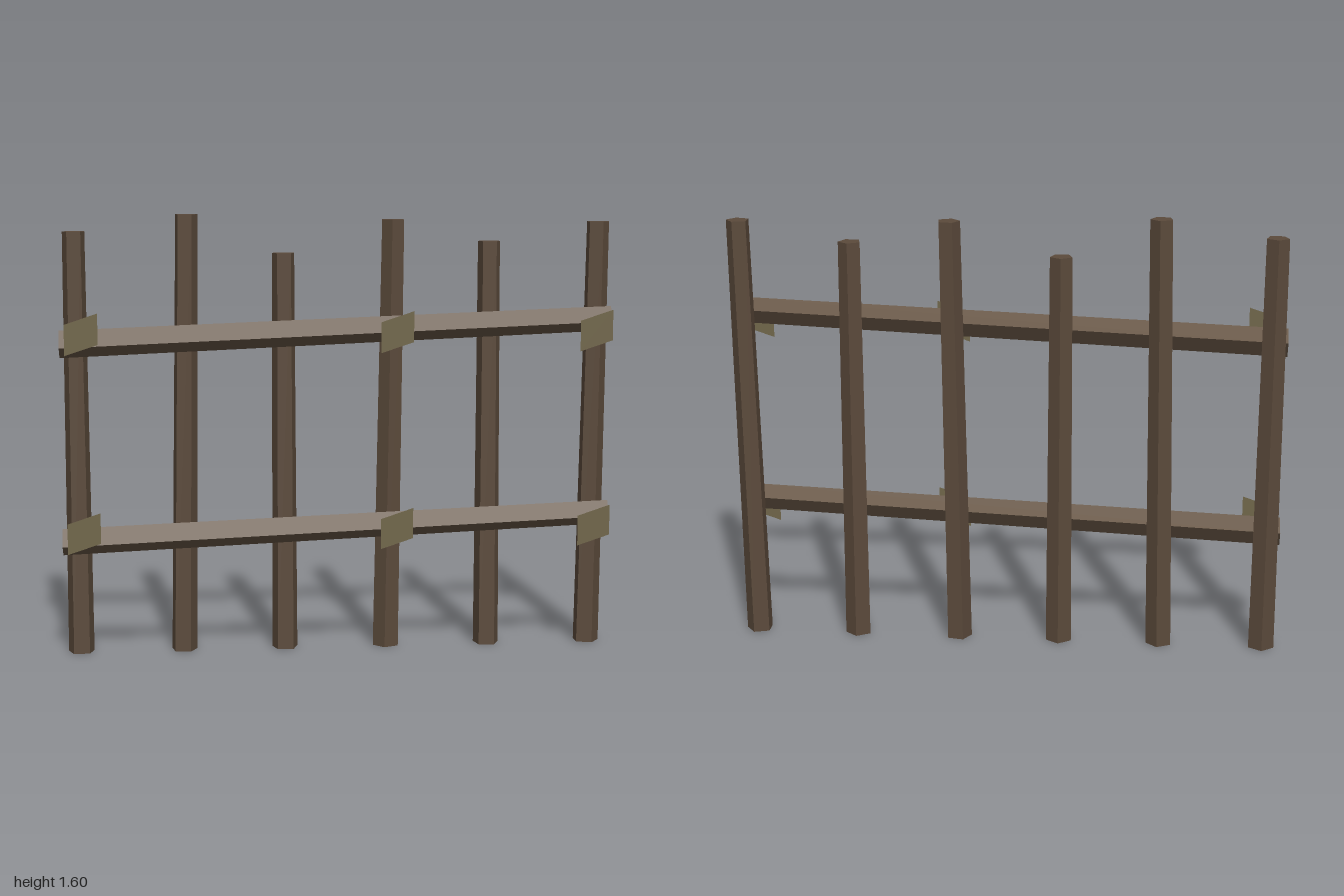
import * as THREE from 'three';

const deg = Math.PI / 180;
const wood = (color) => new THREE.MeshStandardMaterial({ color, flatShading: true });

// Prism whose section drifts from start to end while its ends stay square to the axis
function lean(geometry, axis, start, end) {
  const pos = geometry.attributes.position;
  const a = new THREE.Vector3(...start), b = new THREE.Vector3(...end);
  const p = new THREE.Vector3(), c = new THREE.Vector3();
  for (let i = 0; i < pos.count; i++) {
    p.fromBufferAttribute(pos, i);
    const t = p[axis] + 0.5;
    p[axis] = 0;
    p.add(c.lerpVectors(a, b, t));
    pos.setXYZ(i, p.x, p.y, p.z);
  }
  geometry.computeVertexNormals();
  return geometry;
}

export function createModel() {
  const group = new THREE.Group();
  const add = (name, geometry, material) => {
    const mesh = new THREE.Mesh(geometry, material);
    mesh.name = name;
    group.add(mesh);
  };

  // Five-sided posts: bottom x, top x, height, turn in degrees
  const postWood = wood(0x5b4a3b);
  const posts = [
    [-0.943, -0.947, 1.535, 3],
    [-0.567, -0.545, 1.595, -8],
    [-0.195, -0.195, 1.455, 0],
    [0.18, 0.205, 1.575, 25],
    [0.557, 0.557, 1.495, -5],
    [0.935, 0.958, 1.565, -18],
  ];
  posts.forEach(([x0, x1, h, turn], i) => {
    const g = new THREE.CylinderGeometry(0.042, 0.049, 1, 5, 1, false, (36 + turn) * deg);
    add(`post${i + 1}`, lean(g, 'y', [x0, 0, -0.042], [x1, h, -0.054]), postWood);
  });

  // Sloping square rails with their binding patches
  const railWood = wood(0x655443);
  const bindingMaterial = wood(0x70664a);
  bindingMaterial.side = THREE.DoubleSide;
  for (const [level, y] of [['lower', 0], ['upper', 0.715]]) {
    const g = new THREE.CylinderGeometry(0.046, 0.051, 1, 4, 1, false, -79 * deg);
    g.rotateZ(-Math.PI / 2);
    add(`${level}Rail`, lean(g, 'x', [-1, y + 0.424, 0.035], [0.99, y + 0.502, 0.036]), railWood);

    // Flat slanted patch in front of the rail
    [-0.922, 0.205, 0.93].forEach((x, i) => {
      const patch = new THREE.Shape([
        new THREE.Vector2(-0.059, -0.075),
        new THREE.Vector2(0.059, -0.036),
        new THREE.Vector2(0.059, 0.075),
        new THREE.Vector2(-0.059, 0.036),
      ]);
      const patchGeometry = new THREE.ShapeGeometry(patch).translate(x, y + 0.462, 0.088);
      add(`${level}Binding${i + 1}`, patchGeometry, bindingMaterial);
    });
  }
  return group;
}
